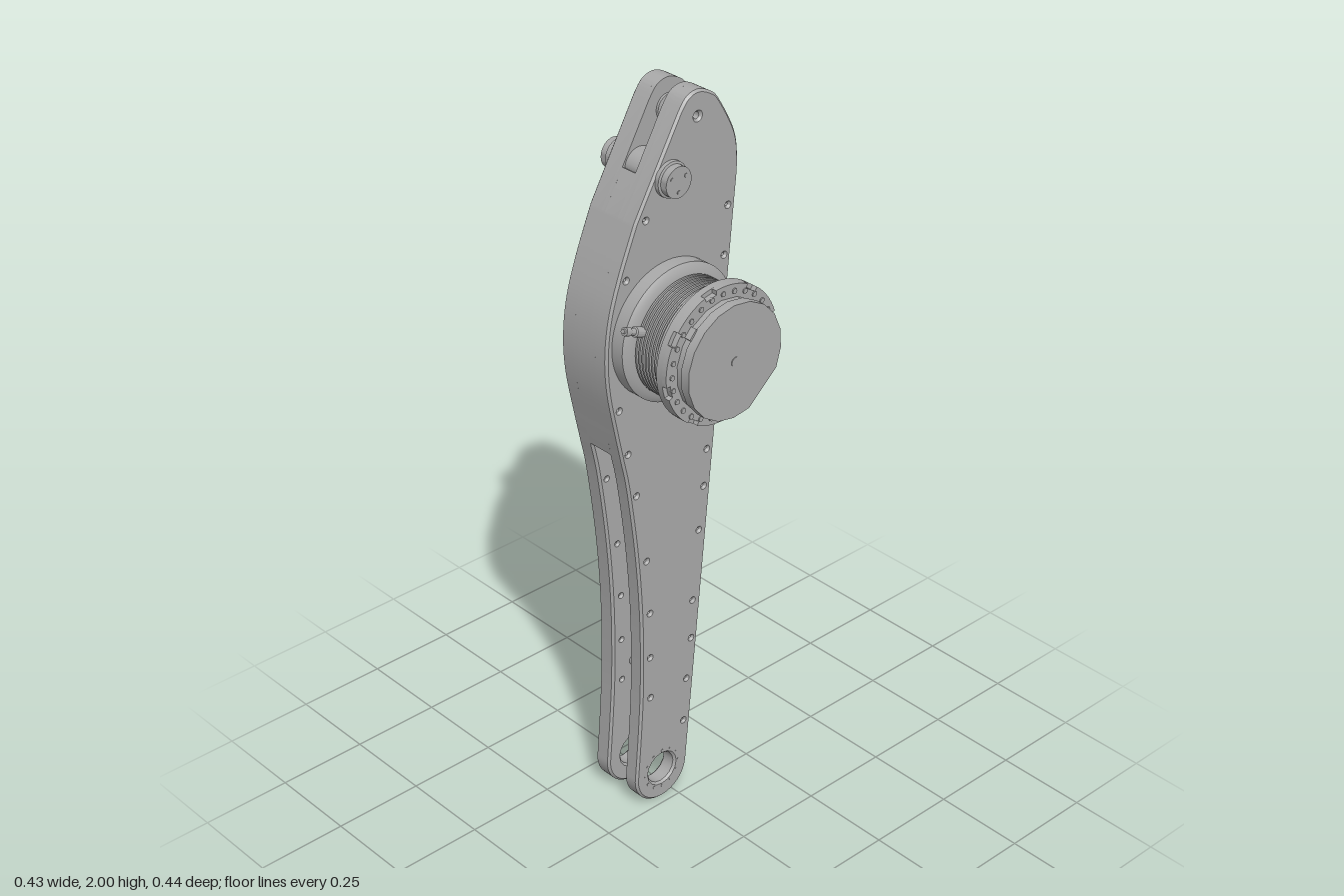
import * as THREE from 'three';
import { toCreasedNormals } from 'three/addons/utils/BufferGeometryUtils.js';

const metal = new THREE.MeshStandardMaterial({ color: 0xa9a9a9 });
metal.name = 'grey metal';

const V = (pts) => pts.map(([x, y]) => new THREE.Vector2(x, y));
const TAU = Math.PI * 2;

function add(parent, name, geometry, x = 0, y = 0, z = 0) {
  const mesh = new THREE.Mesh(toCreasedNormals(geometry, 0.5), metal);
  mesh.name = name;
  mesh.position.set(x, y, z);
  parent.add(mesh);
  return mesh;
}

// Cylinder along z, from z0 to z1
function pin(parent, name, r, x, y, z0, z1, sides = 24) {
  const g = new THREE.CylinderGeometry(r, r, z1 - z0, sides).rotateX(Math.PI / 2);
  return add(parent, name, g, x, y, (z0 + z1) / 2);
}

// Profile of [radius, z] turned around the z axis
function turned(parent, name, profile, x, y, sides = 48) {
  return add(parent, name, new THREE.LatheGeometry(V(profile), sides).rotateX(Math.PI / 2), x, y);
}

function slab(parent, name, shape, z0, z1, bevel = 0) {
  const g = new THREE.ExtrudeGeometry(shape, {
    depth: z1 - z0 - 2 * bevel, curveSegments: 8, bevelEnabled: bevel > 0,
    bevelSize: bevel, bevelThickness: bevel, bevelOffset: -bevel, bevelSegments: 1,
  });
  return add(parent, name, g.translate(0, 0, z0 + bevel));
}

function hole(shape, x, y, r) {
  shape.holes.push(new THREE.Path().absarc(x, y, r, 0, TAU, true));
}

// Arm outline, counter-clockwise from the lower end
const rightX = (y) => 0.047 + (y - 0.08) * 0.0975;
const head = [[0.211, 1.78], [0.2, 1.86], [0.15, 1.955]];
const crown = [[0.12, 1.985], [0.08, 2.0], [0.045, 1.99], [0.02, 1.96]];
const bulge = [[-0.17, 1.6], [-0.202, 1.5], [-0.215, 1.4], [-0.21, 1.3], [-0.187, 1.18], [-0.17, 1.1]];
const shank = [[-0.15, 1.0], [-0.125, 0.8], [-0.112, 0.6], [-0.112, 0.4], [-0.12, 0.25], [-0.133, 0.09]];

function armShape() {
  const s = new THREE.Shape();
  s.absarc(-0.043, 0.09, 0.09, Math.PI, TAU - 0.1, false);
  s.lineTo(0.205, 1.7);
  s.splineThru(V([...head, ...crown]));
  s.lineTo(-0.12, 1.72);
  s.splineThru(V([...bulge, ...shank]));
  hole(s, -0.043, 0.095, 0.045);
  return s;
}

// Filling between the plates; open at the lower fork and the side slot
function coreShape(topOpen) {
  const s = new THREE.Shape();
  s.moveTo(rightX(0.26), 0.26);
  s.lineTo(0.205, 1.7);
  s.splineThru(V(head));
  if (topOpen) {
    s.lineTo(0.14, 1.86);
    s.lineTo(-0.02, 1.79);
    s.lineTo(-0.065, 1.814);
  } else s.splineThru(V(crown));
  s.lineTo(-0.12, 1.72);
  s.splineThru(V(bulge));
  s.lineTo(rightX(1.05) - 0.03, 1.05);
  s.lineTo(rightX(0.26) - 0.03, 0.26);
  return s;
}

// Screw positions along the edges and the middle
const screws = [
  [-0.087, 1.72], [-0.15, 1.585], [0.177, 1.675], [0.166, 1.545], [0.135, 1.225], [0.124, 1.12],
  [0.113, 1.02], [0.103, 0.915], [0.087, 0.79], [0.066, 0.583], [0.061, 0.467], [0.045, 0.345],
  [0.034, 0.214], [-0.177, 1.243], [-0.15, 1.11], [-0.124, 0.98], [-0.092, 0.773], [-0.082, 0.61],
  [-0.082, 0.472], [-0.082, 0.345],
];
const largeScrews = [
  [0.18, 1.76], [0.14, 1.3], [0.1, 0.85], [0.067, 0.53], [0.045, 0.29], [-0.055, 1.69],
  [-0.147, 1.48], [-0.178, 1.3], [-0.04, 1.18], [-0.04, 0.96], [-0.04, 0.68], [-0.04, 0.39],
];

function buildArm() {
  const arm = new THREE.Group();
  arm.name = 'arm';
  const front = armShape(), back = armShape();
  for (const [x, y] of screws) {
    hole(front, x, y, 0.004);
    hole(back, x, y, 0.003);
  }
  for (const [x, y] of largeScrews) hole(back, x, y, 0.009);
  for (const s of [front, back]) hole(s, 0.077, 1.935, 0.009);
  slab(arm, 'frontPlate', front, -0.068, -0.02, 0.006);
  slab(arm, 'backPlate', back, -0.183, -0.131, 0.006);
  slab(arm, 'coreBack', coreShape(false), -0.139, -0.125);
  slab(arm, 'coreMiddle', coreShape(true), -0.125, -0.08);
  slab(arm, 'coreFront', coreShape(false), -0.08, -0.06);

  // Screw heads sunk in the back, spacers across the open slot
  for (const [x, y] of largeScrews) pin(arm, 'screwHead', 0.012, x, y, -0.176, -0.172, 12);
  for (const y of [0.96, 0.68, 0.39]) pin(arm, 'spacer', 0.016, -0.04, y, -0.172, -0.03, 16);

  // Bolt circle around the lower bore
  for (let i = 0; i < 12; i++) {
    const a = (i / 12) * TAU;
    const x = -0.043 + Math.cos(a) * 0.058, y = 0.095 + Math.sin(a) * 0.058;
    pin(arm, 'boreScrew', 0.004, x, y, -0.025, -0.019, 8);
  }

  // Roller in the top slot
  turned(arm, 'roller', [[0, -0.124], [0.036, -0.124], [0.036, -0.117], [0.02, -0.114], [0.02, -0.09],
    [0.036, -0.087], [0.036, -0.081], [0, -0.081]], 0.077, 1.925, 24);
  return arm;
}

// Pivot pin showing at both faces
function buildPivot() {
  const pivot = new THREE.Group();
  pivot.name = 'pivotPin';
  const x = -0.012, y = 1.805;
  turned(pivot, 'pin', [[0, -0.217], [0.04, -0.217], [0.04, -0.197], [0.046, -0.195], [0.046, -0.18],
    [0.046, -0.025], [0.046, -0.009], [0.04, -0.007], [0.04, 0.012], [0, 0.012]], x, y, 32);
  for (let i = 0; i < 3; i++) {
    const a = (i / 3) * TAU + 0.5;
    const px = x + Math.cos(a) * 0.025, py = y + Math.sin(a) * 0.025;
    pin(pivot, 'pinScrew', 0.005, px, py, -0.219, 0.014, 10);
  }
  return pivot;
}

function buildDrive() {
  const drive = new THREE.Group();
  drive.name = 'drive';
  drive.position.set(-0.018, 1.415, 0);

  // Flange, cooling fins and flared front
  const profile = [[0, -0.03], [0.18, -0.03], [0.18, 0.017], [0.165, 0.027]];
  for (let i = 0; i < 8; i++) {
    const z = 0.029 + i * 0.0112;
    profile.push([0.145, z], [0.145, z + 0.006], [0.155, z + 0.006], [0.155, z + 0.0112]);
  }
  profile.push([0.168, 0.12], [0.168, 0.127], [0.18, 0.136], [0.18, 0.155], [0, 0.155]);
  turned(drive, 'finnedHousing', profile, 0, 0, 64);

  // Front ring with eight notches
  const ring = new THREE.Shape();
  for (let i = 0; i < 8; i++) {
    const a = 1.794 + (i / 8) * TAU;
    ring.absarc(0, 0, 0.168, a - 0.1, a + 0.1, false);
    ring.absarc(0, 0, 0.18, a + 0.1, a + TAU / 8 - 0.1, false);
  }
  slab(drive, 'notchedRing', ring, 0.155, 0.17);
  for (let i = 0; i < 28; i++) {
    const a = (i / 28) * TAU;
    pin(drive, 'ringBolt', 0.007, Math.cos(a) * 0.162, Math.sin(a) * 0.162, 0.165, 0.173, 8);
  }

  // Cap with one flat side
  const cap = (r) => new THREE.Shape().absarc(0, 0, r, -0.45, TAU - 1.25, false);
  slab(drive, 'capBase', cap(0.147), 0.165, 0.188);
  slab(drive, 'cap', cap(0.151), 0.188, 0.214);
  pin(drive, 'capCentre', 0.013, 0, 0, 0.21, 0.216, 16);
  const clip = add(drive, 'capClip', new THREE.BoxGeometry(0.012, 0.03, 0.018), -0.109, 0.1, 0.181);
  clip.rotation.z = 2.4;

  // Cable connector at the side
  const plug = new THREE.Group();
  plug.name = 'connector';
  plug.position.set(-0.135, 0.06, 0.042);
  plug.rotation.z = 0.38 * -1;
  const steps = [[0, 0], [0.013, 0], [0.013, 0.03], [0.009, 0.032], [0.009, 0.046],
    [0.011, 0.048], [0.011, 0.064], [0.006, 0.064], [0.006, 0.07], [0, 0.07]];
  add(plug, 'connectorBody', new THREE.LatheGeometry(V(steps), 16).rotateZ(Math.PI / 2));
  drive.add(plug);
  return drive;
}

export function createModel() {
  const model = new THREE.Group();
  model.name = 'actuatorArm';
  model.add(buildArm(), buildPivot(), buildDrive());
  return model;
}
